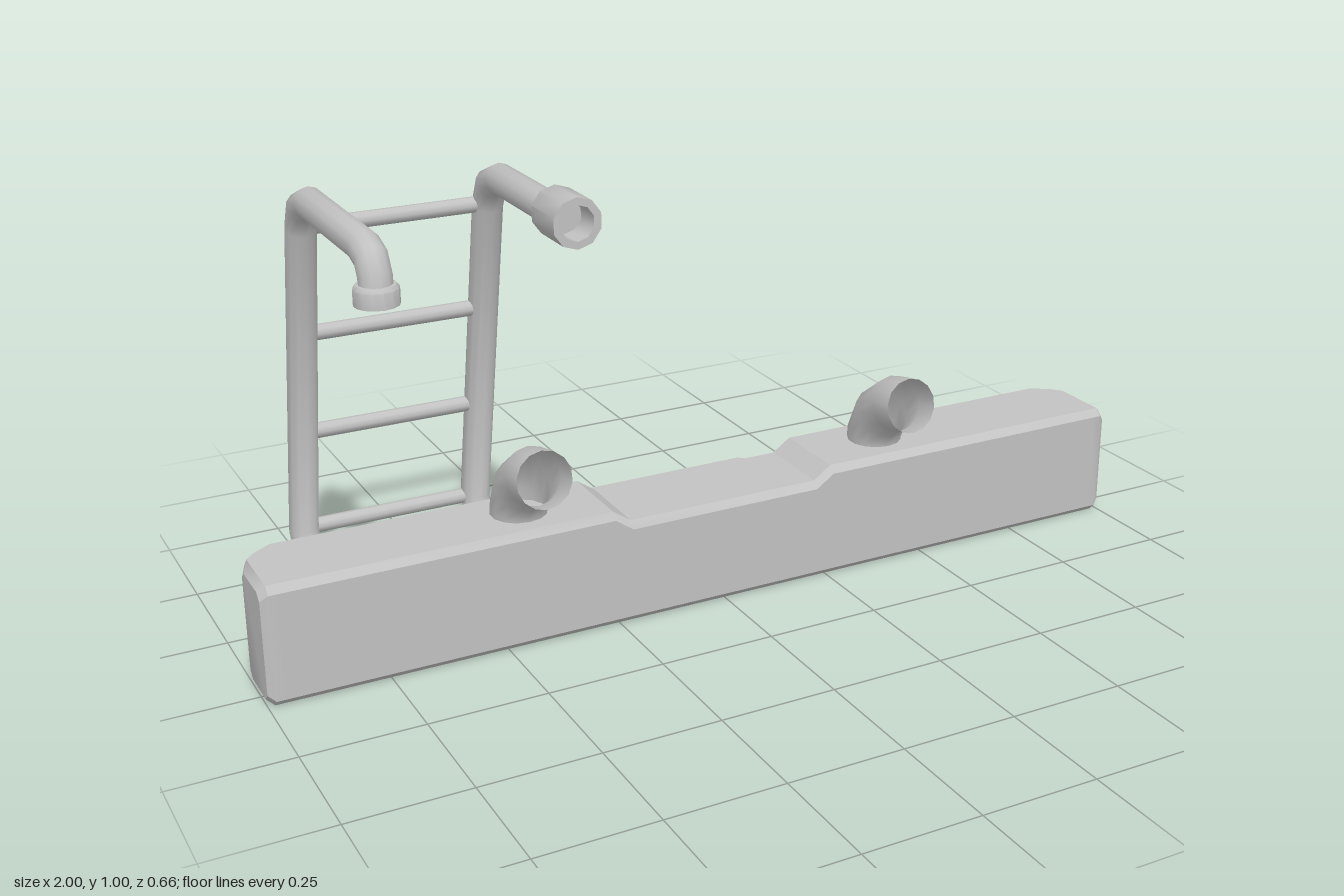
import * as THREE from 'three';
import { toCreasedNormals } from 'three/addons/utils/BufferGeometryUtils.js';

// Skin consecutive rings of Vector3 points, optionally closing both ends
function loft(rings, capped, crease) {
  const n = rings[0].length, pos = [], index = [];
  rings.forEach(r => r.forEach(p => pos.push(p.x, p.y, p.z)));
  for (let i = 0; i < rings.length - 1; i++) {
    for (let j = 0; j < n; j++) {
      const k = (j + 1) % n, a = i * n, b = a + n;
      index.push(a + j, a + k, b + k, a + j, b + k, b + j);
    }
  }
  if (capped) {
    const last = (rings.length - 1) * n;
    for (let j = 1; j < n - 1; j++) {
      index.push(0, j + 1, j, last, last + j, last + j + 1);
    }
  }
  const g = new THREE.BufferGeometry();
  g.setAttribute('position', new THREE.Float32BufferAttribute(pos, 3));
  g.setIndex(index);
  return toCreasedNormals(g, crease);
}

// Mitred pipe through [z, y] points in the plane at x
function pipe(x, path, radius, sides = 12, capped = false) {
  const pts = path.map(([z, y]) => new THREE.Vector3(x, y, z));
  const rings = pts.map((p, i) => {
    const before = p.clone().sub(pts[Math.max(i - 1, 0)]).normalize();
    const after = pts[Math.min(i + 1, pts.length - 1)].clone().sub(p).normalize();
    const t = before.clone().add(after).normalize();
    const stretch = 1 / t.dot(i ? before : after);
    return Array.from({ length: sides }, (_, j) => {
      const a = j / sides * Math.PI * 2, c = Math.cos(a) * radius * stretch;
      return new THREE.Vector3(x + Math.sin(a) * radius, p.y - t.z * c, p.z + t.y * c);
    });
  });
  return loft(rings, capped, 0.9);
}

// Turned part from [radius, height] points, axis along y
function turned(profile, sides) {
  const g = new THREE.LatheGeometry(profile.map(p => new THREE.Vector2(...p)), sides);
  return toCreasedNormals(g, 0.65);
}

export function createModel() {
  const model = new THREE.Group();
  const steel = new THREE.MeshStandardMaterial({ color: 0xc2c2c2, side: THREE.DoubleSide });
  steel.name = 'grey steel';
  const add = (name, geometry, x = 0, y = 0, z = 0) => {
    const mesh = new THREE.Mesh(geometry, steel);
    mesh.name = name;
    mesh.position.set(x, y, z);
    model.add(mesh);
    return mesh;
  };

  // Bumper beam: [x, back z, front z, top y, bottom y], mirrored in x
  const half = [
    [1, -0.07, 0.05, 0.242, 0.012],
    [0.985, -0.1, 0.06, 0.256, 0],
    [0.965, -0.122, 0.06, 0.256, 0],
    [0.925, -0.148, 0.06, 0.256, 0],
    [0.26, -0.148, 0.06, 0.256, 0],
    [0.22, -0.148, 0.06, 0.228, 0],
  ];
  const sections = [
    ...half.map(([x, ...rest]) => [-x, ...rest]),
    ...half.slice().reverse(),
  ];
  const c = 0.015;
  const beam = sections.map(([x, zb, zf, yt, yb]) => [
    [yt, zb + c], [yt, zf - c], [yt - c, zf], [yb + c, zf],
    [yb, zf - c], [yb, zb + c], [yb + c, zb], [yt - c, zb],
  ].map(([y, z]) => new THREE.Vector3(x, y, z)));
  add('bumperBeam', loft(beam, true, 0.6));

  // Two open elbow pipes on top
  for (const x of [-0.43, 0.43]) {
    add('elbowPipe', pipe(x, [
      [-0.047, 0.22], [-0.047, 0.27], [-0.02, 0.325], [0.038, 0.367], [0.097, 0.38],
    ], 0.06, 14));
  }

  // Ladder rails
  const rail = [
    [-0.14, 0.12], [-0.22, 0.122], [-0.273, 0.15], [-0.298, 0.197],
    [-0.151, 0.882], [-0.127, 0.93], [-0.078, 0.95],
  ];
  const outerX = -0.81, innerX = -0.43;
  add('innerRail', pipe(innerX, [...rail, [0.22, 0.95]], 0.031, 12, true));
  add('outerRail', pipe(outerX, [
    ...rail, [0.235, 0.95], [0.272, 0.938], [0.288, 0.91], [0.29, 0.87],
  ], 0.031, 12, true));

  // Rungs following the slope of the rails
  for (const y of [0.2, 0.43, 0.655, 0.885]) {
    const rung = new THREE.CylinderGeometry(0.016, 0.016, innerX - outerX, 10);
    rung.rotateZ(Math.PI / 2);
    add('rung', rung, (outerX + innerX) / 2, y, -0.298 + (y - 0.197) * 0.2146);
  }

  // Hollow socket on the inner rail and collar on the outer rail
  const socket = turned([
    [0.028, 0], [0.043, 0], [0.049, 0.008], [0.049, 0.108],
    [0.034, 0.108], [0.034, 0.05], [0, 0.05],
  ], 10).rotateX(Math.PI / 2);
  add('railSocket', socket, innerX, 0.952, 0.18);
  add('railCollar', turned([
    [0.029, 0.01], [0.029, 0], [0.041, 0], [0.041, 0.03], [0.036, 0.037], [0.03, 0.037],
  ], 14), outerX, 0.86, 0.29);

  // Octagonal flanges where the rails meet the beam
  for (const x of [outerX, innerX]) {
    const flange = turned([
      [0.075, -0.005], [0.075, 0.025], [0.062, 0.039], [0.046, 0.039], [0.04, 0.045], [0, 0.045],
    ], 8).rotateX(-Math.PI / 2);
    add('railFlange', flange, x, 0.125, -0.148);
  }

  // Round rear lamps
  for (const x of [-0.68, -0.56, 0.555, 0.67]) {
    const lamp = turned([
      [0.047, -0.005], [0.047, 0.022], [0.038, 0.03], [0.036, 0.038], [0, 0.038],
    ], 12).rotateX(-Math.PI / 2);
    add('rearLamp', lamp, x, 0.127, -0.148);
  }

  // Rear steps: flat plates with clipped back corners
  const step = (name, y, depth) => {
    const w = 0.222, k = 0.028;
    const outline = new THREE.Shape([
      [-w, -0.01], [w, -0.01], [w, depth - k], [w - k, depth], [k - w, depth], [-w, depth - k],
    ].map(p => new THREE.Vector2(...p)));
    const plate = new THREE.ExtrudeGeometry(outline, { depth: 0.036, bevelEnabled: false });
    add(name, plate.rotateX(-Math.PI / 2), 0, y, -0.148);
  };
  step('lowerStep', 0.052, 0.164);
  step('upperStep', 0.141, 0.104);

  return model;
}
